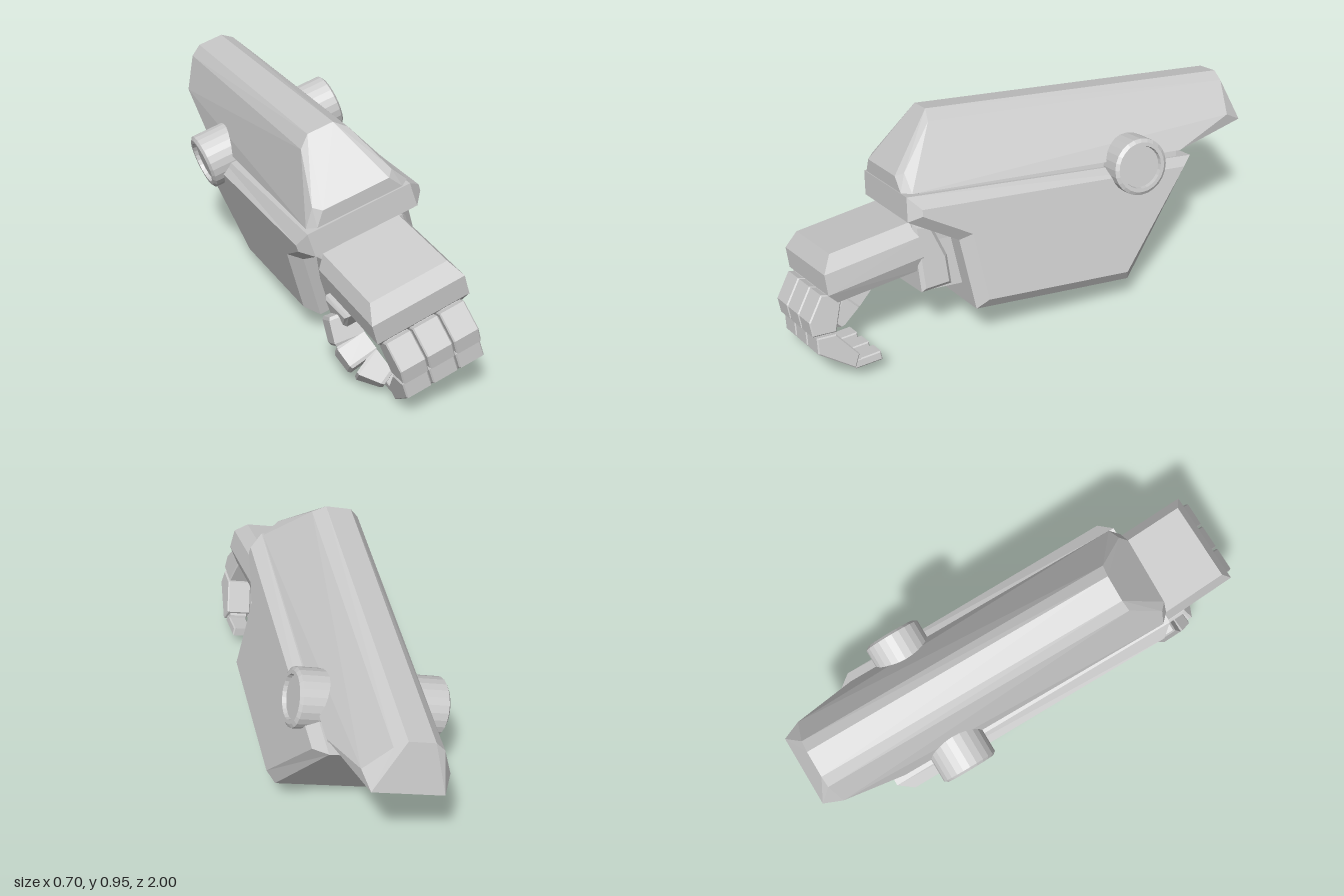
import * as THREE from 'three';
import { ConvexGeometry } from 'three/addons/geometries/ConvexGeometry.js';

const grey = new THREE.MeshStandardMaterial({ color: 0xcccccc, flatShading: true });

function add(parent, name, geometry) {
  const mesh = new THREE.Mesh(geometry, grey);
  mesh.name = name;
  parent.add(mesh);
  return mesh;
}

// Prism from a (z, y) side profile, centred on x, with chamfered edges that stay inside or grow outward.
function prism(profile, x, width, bevel, grow = false) {
  const shape = new THREE.Shape(profile.map(([z, y]) => new THREE.Vector2(z, y)));
  const depth = width - 2 * bevel;
  const g = new THREE.ExtrudeGeometry(shape, {
    depth, bevelEnabled: true, bevelSegments: 1, bevelSize: bevel,
    bevelThickness: bevel, bevelOffset: grow ? 0 : -bevel,
  });
  g.translate(0, 0, -depth / 2);
  g.rotateY(-Math.PI / 2);
  g.translate(x, 0, 0);
  return g;
}

// Convex solid from points mirrored about the plane x = cx.
function hull(half, cx = 0) {
  const pts = [];
  for (const [x, y, z] of half)
    for (const s of [-1, 1]) pts.push(new THREE.Vector3(cx + s * x, y, z));
  return new ConvexGeometry(pts);
}

// Tapered block running from a to b, its width kept along x.
function link(a, b, w0, w1, t0, t1) {
  const from = new THREE.Vector3(...a);
  const dir = new THREE.Vector3(...b).sub(from);
  const len = dir.length(), c = 0.012;
  const half = [];
  for (const [z, w, t] of [[0, w0 - c, t0 - c], [c, w0, t0], [len - c, w1, t1], [len, w1 - c, t1 - c]])
    for (const s of [-1, 1]) half.push([w / 2, s * t / 2, z]);
  dir.normalize();
  const up = dir.clone().cross(new THREE.Vector3(1, 0, 0)).normalize();
  const side = up.clone().cross(dir);
  return hull(half).applyMatrix4(new THREE.Matrix4().makeBasis(side, up, dir).setPosition(from));
}

function buildForearm(arm) {
  // Lower housing, chamfered all round and slightly yawed
  const lower = new THREE.Group();
  lower.name = 'lowerForearm';
  lower.rotation.y = -0.047;
  lower.position.x = 0.016;
  arm.add(lower);
  add(lower, 'lowerHousing', prism(
    [[0.515, 0.072], [0.515, 0.045], [0.31, -0.058], [0.25, -0.34], [-0.375, -0.34], [-0.645, 0.067]],
    0, 0.527, 0.045, true));

  // Elbow pivot: a through cylinder with a rimmed cap at each end
  const half = [[0, 0.294], [0.085, 0.294], [0.088, 0.31], [0.103, 0.31], [0.117, 0.3]];
  const profile = [...half.map(([r, h]) => [r, -h]), ...half.slice().reverse()];
  const pivot = add(lower, 'elbowPivot', new THREE.LatheGeometry(
    profile.map(([r, h]) => new THREE.Vector2(r, h)), 24));
  pivot.rotation.z = -Math.PI / 2;
  pivot.position.set(0, 0.108, -0.418);

  // Upper half follows the same yaw
  const upper = new THREE.Group();
  upper.name = 'upperForearm';
  upper.rotation.y = -0.055;
  upper.position.x = 0.025;
  arm.add(upper);
  const seam = add(upper, 'seamStrip', new THREE.BoxGeometry(0.39, 0.06, 1.14));
  seam.position.set(0, 0.11, -0.07);

  // Faceted upper shell
  add(upper, 'upperShell', hull([
    [0.215, 0.127, 0.535], [0.18, 0.127, 0.568], [0.14, 0.185, 0.573], [0.168, 0.2, 0.545],
    [0.054, 0.409, 0.40], [0.1, 0.368, 0.41],
    [0.054, 0.398, -0.915], [0.1, 0.365, -0.915],
    [0.175, 0.235, -0.9], [0.145, 0.2, -0.978], [0.205, 0.14, -0.69], [0.213, 0.127, -0.65],
  ]));
}

function buildHand(arm) {
  // Wrist
  const core = add(arm, 'wristCore', new THREE.BoxGeometry(0.28, 0.2, 0.28));
  core.position.set(-0.01, -0.2, 0.34);
  add(arm, 'wristCuff', prism(
    [[0.53, -0.01], [0.45, -0.022], [0.385, -0.16], [0.37, -0.28], [0.5, -0.295]],
    -0.015, 0.37, 0.015));

  // Palm block, drooping a little from the wrist
  const palm = add(arm, 'palm', hull([
    [0.165, 0, 0], [0.165, 0, 0.355], [0.198, -0.06, 0], [0.198, -0.06, 0.405],
    [0.198, -0.145, 0], [0.198, -0.145, 0.41], [0.165, -0.205, 0], [0.165, -0.2, 0.37],
  ], -0.025));
  palm.position.set(0, -0.003, 0.52);
  palm.rotation.x = 0.19;

  // Three curled fingers of three segments with hinge pins
  const segments = [
    ['fingerBase', 0.108, [[0.912, -0.228], [0.826, -0.243], [0.858, -0.388], [0.955, -0.39], [0.966, -0.33]]],
    ['fingerMiddle', 0.108, [[0.94, -0.399], [0.86, -0.397], [0.767, -0.497], [0.787, -0.553], [0.937, -0.465]]],
    ['fingerTip', 0.08, [[0.8, -0.53], [0.673, -0.512], [0.666, -0.549], [0.78, -0.563]]],
  ];
  const hinges = [[0.867, -0.235], [0.898, -0.394], [0.782, -0.527]];
  for (const x of [-0.145, -0.03, 0.085]) {
    const finger = new THREE.Group();
    finger.name = 'finger';
    finger.position.x = x;
    for (const [name, width, outline] of segments) add(finger, name, prism(outline, 0, width, 0.005));
    for (const [z, y] of hinges) {
      const pin = add(finger, 'fingerHinge', new THREE.CylinderGeometry(0.024, 0.024, 0.075, 10));
      pin.rotation.z = Math.PI / 2;
      pin.position.set(0, y, z);
    }
    arm.add(finger);
  }

  // Thumb, curling under the palm toward the fingertips
  const thumb = new THREE.Group();
  thumb.name = 'thumb';
  arm.add(thumb);
  add(thumb, 'thumbMount', prism([[0.68, -0.2], [0.5, -0.18], [0.5, -0.27], [0.61, -0.285]], -0.13, 0.22, 0.012));
  add(thumb, 'thumbBase', link([-0.225, -0.235, 0.56], [-0.24, -0.34, 0.6], 0.11, 0.125, 0.09, 0.085));
  add(thumb, 'thumbMiddle', link([-0.24, -0.342, 0.602], [-0.23, -0.415, 0.67], 0.125, 0.125, 0.085, 0.08));
  add(thumb, 'thumbTip', link([-0.23, -0.417, 0.672], [-0.185, -0.49, 0.74], 0.12, 0.07, 0.08, 0.055));
}

export function createModel() {
  const model = new THREE.Group();
  model.name = 'mechanicalForearm';
  // The whole arm is rolled and pitched as one
  const arm = new THREE.Group();
  arm.name = 'arm';
  arm.rotation.set(-0.13, 0, 0.28, 'ZXY');
  arm.position.set(-0.043, 0.488, 0);
  buildForearm(arm);
  buildHand(arm);
  model.add(arm);
  return model;
}
